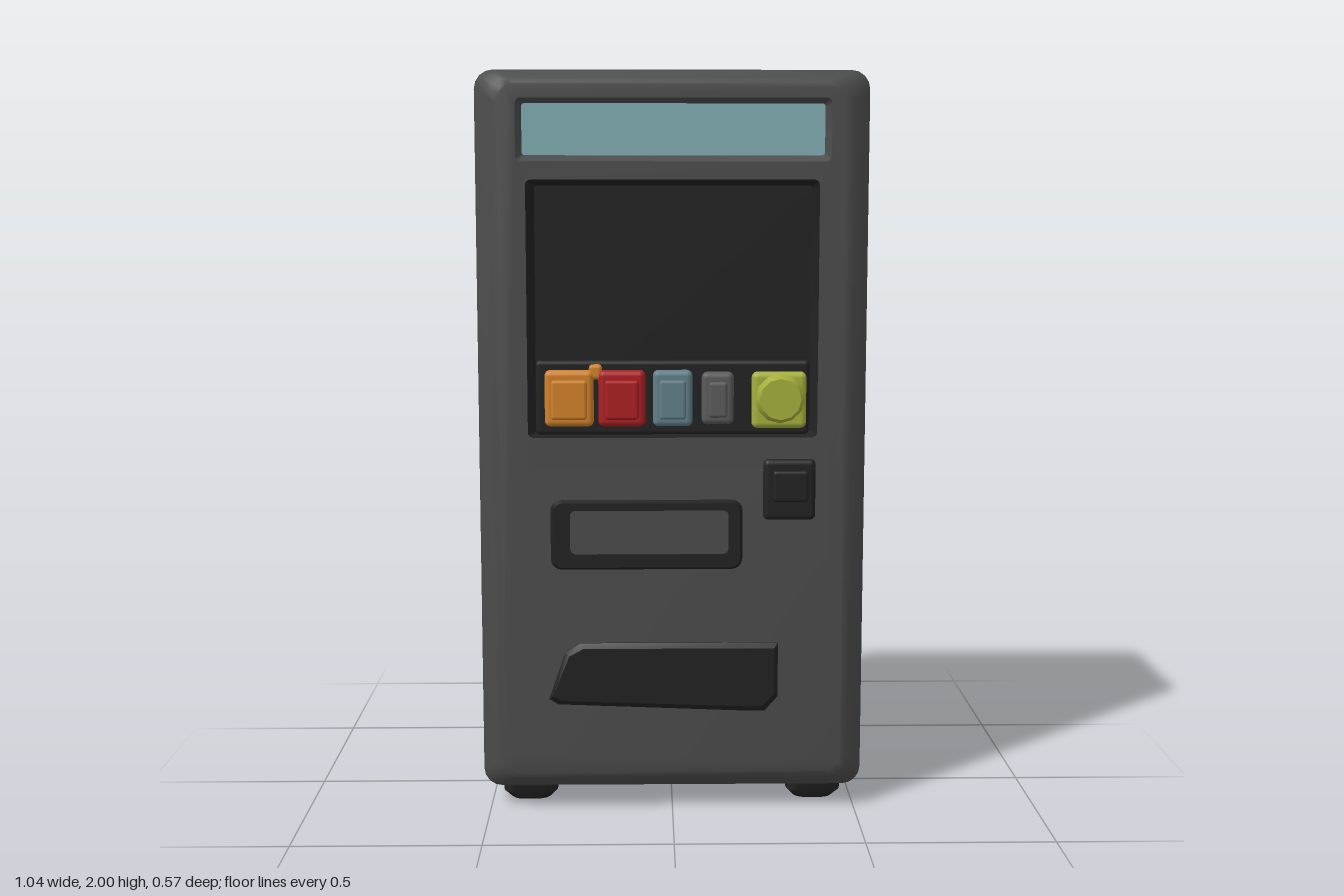
import * as THREE from 'three';
import { mergeGeometries, toCreasedNormals } from 'three/addons/utils/BufferGeometryUtils.js';
import { RoundedBoxGeometry } from 'three/addons/geometries/RoundedBoxGeometry.js';

const mat = (name, color) => new THREE.MeshStandardMaterial({ name, color });

// counter-clockwise rounded rectangle outline
function outline(x0, y0, x1, y1, r, n = 4) {
  const pts = [];
  const corners = [[x1 - r, y0 + r, -90], [x1 - r, y1 - r, 0], [x0 + r, y1 - r, 90], [x0 + r, y0 + r, 180]];
  for (const [cx, cy, a] of corners) {
    for (let i = 0; i <= n; i++) {
      const t = THREE.MathUtils.degToRad(a + (90 * i) / n);
      pts.push(new THREE.Vector2(cx + r * Math.cos(t), cy + r * Math.sin(t)));
    }
  }
  return pts;
}

// skin through outlines; faces outward when z rises, inward when z falls
function loft(rings) {
  const pos = [], idx = [], n = rings[0].pts.length;
  for (const { pts, z } of rings) for (const p of pts) pos.push(p.x, p.y, z);
  for (let i = 0; i < rings.length - 1; i++) {
    for (let j = 0; j < n; j++) {
      const a = i * n + j, b = i * n + (j + 1) % n;
      idx.push(a, b, b + n, a, b + n, a + n);
    }
  }
  const g = new THREE.BufferGeometry();
  g.setAttribute('position', new THREE.Float32BufferAttribute(pos, 3));
  g.setIndex(idx);
  return g;
}

function cap(pts, z, holes = [], back = false) {
  const shape = new THREE.Shape(pts);
  shape.holes = holes.map((h) => new THREE.Path(h));
  const g = new THREE.ShapeGeometry(shape);
  if (back) g.rotateY(Math.PI);
  return g.translate(0, 0, z);
}

function join(parts, crease = 0.8) {
  const clean = parts.map((p) => {
    const g = p.index ? p.toNonIndexed() : p;
    g.deleteAttribute('uv');
    g.deleteAttribute('normal');
    return g;
  });
  return toCreasedNormals(mergeGeometries(clean), crease);
}

export function createModel() {
  const group = new THREE.Group();
  const body = mat('bodyGrey', 0x4c4c4c), dark = mat('darkTrim', 0x222222);
  const glass = mat('paleBlue', 0x80adb3), orange = mat('orange', 0xd2822a);
  const red = mat('red', 0xad1f22), blue = mat('slateBlue', 0x617f8a);
  const grey = mat('midGrey', 0x5a5a5a), lime = mat('lime', 0xa5b03c);

  const add = (name, geo, material, x = 0, y = 0, z = 0) => {
    const m = new THREE.Mesh(geo, material);
    m.name = name;
    m.position.set(x, y, z);
    group.add(m);
    return m;
  };

  const FRONT = 0.255, BACK = -0.28;

  // cabinet shell with softened edges and two front openings
  const ring = (d) => outline(-0.52 + d, 0.055 + d * 0.9, 0.52 - d, 2 - d * 0.6, 0.05);
  const signHole = outline(-0.41, 1.762, 0.415, 1.925, 0.015);
  const windowHole = outline(-0.385, 1.035, 0.385, 1.715, 0.015);
  add('cabinet', join([
    loft([
      { pts: ring(0.06), z: BACK }, { pts: ring(0.042), z: BACK + 0.01 },
      { pts: ring(0.006), z: BACK + 0.045 }, { pts: ring(0), z: BACK + 0.06 },
      { pts: ring(0), z: FRONT - 0.06 }, { pts: ring(0.006), z: FRONT - 0.045 },
      { pts: ring(0.042), z: FRONT - 0.01 }, { pts: ring(0.06), z: FRONT },
    ]),
    cap(ring(0.06), BACK, [], true),
    cap(ring(0.06), FRONT, [signHole, windowHole]),
  ]), body);

  // recessed sign
  const signBack = outline(-0.395, 1.778, 0.4, 1.912, 0.008);
  add('signSurround', join([loft([{ pts: signHole, z: FRONT }, { pts: signBack, z: 0.225 }])]), body);
  add('signPanel', cap(signBack, 0.225), glass);

  // recessed display window
  const windowBack = outline(-0.365, 1.045, 0.37, 1.7, 0.01);
  add('displayRecess', join([
    loft([{ pts: windowHole, z: FRONT }, { pts: windowBack, z: 0.21 }]),
    cap(windowBack, 0.21),
  ]), dark);
  add('displayLedge', new RoundedBoxGeometry(0.73, 0.2, 0.03, 2, 0.012), dark, 0, 1.14, 0.222);

  // products: block with a slightly raised face
  const products = [
    ['orangeProduct', orange, -0.275, 0.13, 0.15], ['redProduct', red, -0.135, 0.125, 0.15],
    ['blueProduct', blue, 0.0, 0.105, 0.15], ['greyProduct', grey, 0.12, 0.085, 0.14],
  ];
  for (const [name, m, x, w, h] of products) {
    add(name, new RoundedBoxGeometry(w, h, 0.05, 3, 0.015), m, x, 1.14, 0.237);
    add(name + 'Face', new RoundedBoxGeometry(w - 0.035, h - 0.045, 0.02, 2, 0.008), m, x, 1.137, 0.261);
  }
  add('orangeProductTab', new RoundedBoxGeometry(0.035, 0.04, 0.03, 2, 0.01), orange, -0.205, 1.21, 0.24);
  add('limeProduct', new RoundedBoxGeometry(0.145, 0.15, 0.05, 3, 0.015), lime, 0.283, 1.135, 0.237);
  add('limeProductDome', new THREE.CylinderGeometry(0.055, 0.07, 0.03, 12).rotateX(Math.PI / 2), lime, 0.285, 1.14, 0.269);

  // raised slot frame around a grey insert
  const slotOuter = outline(-0.33, 0.675, 0.19, 0.87, 0.03);
  const slotTop = outline(-0.32, 0.685, 0.18, 0.86, 0.025);
  const slotInner = outline(-0.275, 0.72, 0.15, 0.84, 0.015);
  add('slotFrame', join([
    loft([{ pts: slotOuter, z: 0.25 }, { pts: slotTop, z: 0.268 }]),
    cap(slotTop, 0.268, [slotInner]),
    loft([{ pts: slotInner, z: 0.268 }, { pts: slotInner, z: 0.257 }]),
  ], 0.5), dark);
  add('slotInsert', cap(slotInner, 0.258), body);

  // coin unit
  add('coinUnit', new RoundedBoxGeometry(0.14, 0.165, 0.035, 3, 0.015), dark, 0.312, 0.895, 0.253);
  add('coinButton', new RoundedBoxGeometry(0.095, 0.085, 0.02, 3, 0.009), dark, 0.315, 0.905, 0.268);

  // collection flap
  const flap = (s, dz) => [[-0.335, 0.32], [-0.31, 0.305], [0.2, 0.285], [0.25, 0.285], [0.285, 0.325],
    [0.285, 0.475], [-0.25, 0.475], [-0.29, 0.45]].map(([x, y]) => new THREE.Vector2(x * s, 0.39 + (y - 0.39) * dz));
  const flapEdge = flap(1, 1), flapFace = flap(0.965, 0.85);
  add('collectionFlap', join([
    loft([{ pts: flapEdge, z: 0.25 }, { pts: flapEdge, z: 0.26 }, { pts: flapFace, z: 0.272 }]),
    cap(flapFace, 0.272),
  ], 0.5), dark);

  // shallow strips on the back
  for (const x of [0.31, 0.05, -0.2]) {
    add('backStrip', new RoundedBoxGeometry(0.16, 0.035, 0.008, 2, 0.003), body, x, 0.72, BACK);
  }

  // long feet on both sides
  for (const s of [-1, 1]) {
    const foot = (d) => outline(-0.075 + d, -0.185 + d, 0.075 - d, 0.185 - d, 0.035);
    const g = join([
      loft([{ pts: foot(0.02), z: 0 }, { pts: foot(0), z: 0.025 }, { pts: foot(0), z: 0.08 }]),
      cap(foot(0.02), 0, [], true),
    ]);
    add(s > 0 ? 'leftFoot' : 'rightFoot', g.rotateX(-Math.PI / 2), dark, s * 0.395, 0, -0.013);
  }
  return group;
}
